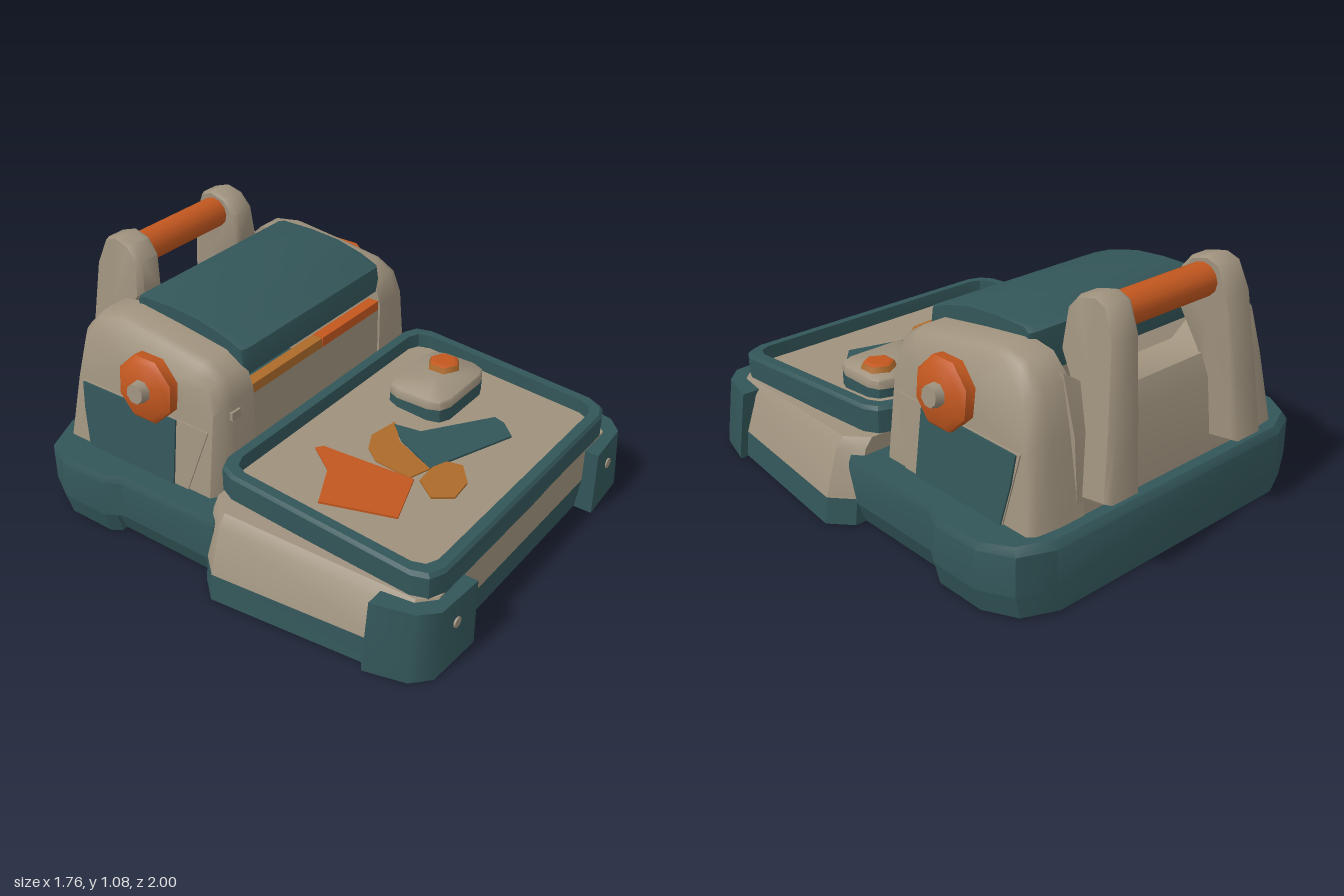
import * as THREE from 'three';
import { toCreasedNormals } from 'three/addons/utils/BufferGeometryUtils.js';

const paint = (name, color) => {
  const m = new THREE.MeshStandardMaterial({ color });
  m.name = name;
  return m;
};

// Solid skinned over rings of [x, y, z] points, capped at both ends, always facing outward
function loft(rings, crease = 0.6) {
  const n = rings[0].length, pos = rings.flat(2), idx = [];
  for (let r = 0; r < rings.length - 1; r++) {
    for (let i = 0; i < n; i++) {
      const a = r * n + i, b = r * n + (i + 1) % n;
      idx.push(a, b, b + n, a, b + n, a + n);
    }
  }
  [0, rings.length - 1].forEach((r, end) => {
    const c = pos.length / 3;
    for (let k = 0; k < 3; k++) pos.push(rings[r].reduce((s, p) => s + p[k], 0) / n);
    for (let i = 0; i < n; i++) {
      const a = r * n + i, b = r * n + (i + 1) % n;
      idx.push(...(end ? [c, a, b] : [c, b, a]));
    }
  });
  const v = (i) => new THREE.Vector3().fromArray(pos, i * 3);
  let volume = 0;
  for (let i = 0; i < idx.length; i += 3) volume += v(idx[i]).dot(v(idx[i + 1]).cross(v(idx[i + 2])));
  if (volume < 0) idx.reverse();
  const g = new THREE.BufferGeometry();
  g.setAttribute('position', new THREE.Float32BufferAttribute(pos, 3));
  g.setIndex(idx);
  return toCreasedNormals(g, crease);
}

// Contours in plan: rectangle with cut corners, and a half outline mirrored over x
function cutRect(x0, x1, z0, z1, c) {
  const d = c * 0.3;
  const corner = (x, z, sx, sz) => [[x, z + sz * c], [x + sx * d, z + sz * d], [x + sx * c, z]];
  return [...corner(x0, z0, 1, 1), ...corner(x1, z0, -1, 1).reverse(),
    ...corner(x1, z1, -1, -1), ...corner(x0, z1, 1, -1).reverse()];
}
const mirrored = (half) => [...half, ...half.map(([x, z]) => [-x, z]).reverse()];
// Place a contour at a height (number or function of z)
const at = (contour, y, sx = 1) => contour.map(([x, z]) => [x * sx, typeof y === 'function' ? y(z) : y, z]);
// Place a [z, y] side profile at some x
const side = (profile, x) => profile.map(([z, y]) => [typeof x === 'function' ? x(y) : x, y, z]);

export function createModel() {
  const cream = paint('cream', 0x9f927e), teal = paint('teal', 0x335659);
  const orange = paint('orange', 0xc2571f), ochre = paint('ochre', 0xad6a2a);
  const model = new THREE.Group();
  const add = (name, geo, mat, x = 0, y = 0, z = 0) => {
    const m = new THREE.Mesh(geo, mat);
    m.name = name;
    m.position.set(x, y, z);
    model.add(m);
  };
  const box = (w, h, d) => new THREE.BoxGeometry(w, h, d);

  // Rear tub, stepped in underneath at the sides
  const tub = mirrored([[0.79, 0.02], [0.79, -0.47], [0.83, -0.54], [0.83, -0.76], [0.76, -0.89], [0.62, -0.95]]);
  const tubTop = tub.map(([x, z]) => [x * 0.985, z < -0.8 ? z + 0.02 : z]);
  add('rearTub', loft([at(tub, 0.1), at(tub, 0.26), at(tubTop, 0.29)]), teal);
  const heel = mirrored([[0.8, -0.5], [0.83, -0.54], [0.83, -0.76], [0.76, -0.89], [0.62, -0.95]]);
  add('rearHeel', loft([at(heel, 0.005, 0.97), at(heel, 0.1)]), teal);
  const under = mirrored([[0.79, 0.04], [0.79, -0.52]]);
  add('tubUnderside', loft([at(under, 0.005, 0.95), at(under, 0.102)]), teal);
  add('bottomPlate', box(1.46, 0.004, 1.74), cream, 0, 0.002, 0.02);

  // Front body with teal skirt, sloping toward the front
  const body = mirrored([[0.8, -0.02], [0.88, 0.07], [0.8, 0.88], [0.73, 0.94]]);
  const skirtFoot = body.map(([x, z]) => [x, z > 0.8 ? z - 0.02 : z]);
  const shoulder = (z) => 0.355 - 0.06 * z;
  const skirtY = (z) => (z > 0.93 ? 0.145 : 0.115);
  add('frontSkirt', loft([at(skirtFoot, 0.003), at(body, skirtY, 0.985)]), teal);
  add('frontBody', loft([at(body, skirtY, 0.985), at(body, (z) => shoulder(z) - 0.04, 0.92), at(body, shoulder, 0.88)]), cream);

  // Front corner guards with rivets
  const guard = [[0.48, 1.0], [0.73, 0.985], [0.8, 0.92], [0.845, 0.75], [0.72, 0.75], [0.48, 0.9]];
  for (const s of [-1, 1]) {
    const top = guard.map(([x, z]) => [x > 0.5 ? x * 0.955 : x, z]);
    add('cornerGuard', loft([at(guard, 0, s), at(guard, 0.03, s), at(top, 0.292, s)], 0.9), teal);
    add('rivet', new THREE.CylinderGeometry(0.022, 0.022, 0.02, 10).rotateX(Math.PI / 2), cream, s * 0.603, 0.185, 0.988);
  }

  // Sloping tray with raised rim
  const rimY = (z) => 0.471 - 0.0755 * z;
  const floorY = (z) => rimY(z) - 0.065;
  const outer = cutRect(-0.7, 0.7, -0.05, 0.94, 0.09);
  const lip = cutRect(-0.69, 0.69, -0.04, 0.93, 0.09);
  const inner = cutRect(-0.65, 0.65, 0.0, 0.89, 0.07);
  add('tray', loft([at(outer, (z) => rimY(z) - 0.11), at(outer, (z) => rimY(z) - 0.015), at(lip, rimY),
    at(inner, rimY), at(inner, (z) => floorY(z) - 0.005)], 0.5), teal);
  // Thin plate lying on the sloped tray floor
  const plate = (name, pts, mat, lift, h) => {
    const shape = new THREE.Shape(pts.map(([x, z]) => new THREE.Vector2(x, -z)));
    const g = new THREE.ExtrudeGeometry(shape, { depth: h, bevelEnabled: false }).rotateX(-Math.PI / 2);
    const p = g.attributes.position;
    for (let i = 0; i < p.count; i++) p.setY(i, p.getY(i) + floorY(p.getZ(i)) + lift);
    g.computeVertexNormals();
    add(name, g, mat);
  };
  plate('trayFloor', inner, cream, -0.004, 0.006);
  plate('orangeScrap', [[-0.55, 0.34], [-0.37, 0.25], [-0.29, 0.13], [-0.26, 0.15], [-0.2, 0.54], [-0.43, 0.62]], orange, 0.002, 0.009);
  plate('ochreScrap', [[-0.2, 0.36], [-0.15, 0.29], [-0.07, 0.25], [0.07, 0.27], [-0.03, 0.36], [-0.1, 0.55], [-0.2, 0.52]], ochre, 0.002, 0.006);
  plate('smallOchreScrap', [[-0.25, 0.65], [-0.19, 0.56], [-0.03, 0.55], [0, 0.64], [-0.08, 0.71], [-0.19, 0.72]], ochre, 0.002, 0.009);
  plate('tealScrap', [[0.05, 0.28], [0.08, 0.39], [0.37, 0.57], [0.36, 0.62], [0.3, 0.69], [-0.1, 0.55], [-0.02, 0.36]], teal, 0.002, 0.009);

  // Button block on the tray
  const pad = cutRect(0.17, 0.55, 0.14, 0.43, 0.07);
  add('buttonBase', loft([at(pad, 0.37), at(pad, 0.435)]), teal);
  add('buttonBlock', loft([at(pad, 0.435), at(pad, 0.47), at(cutRect(0.175, 0.545, 0.145, 0.425, 0.07), 0.477)], 1), cream);
  add('buttonSide', new THREE.CylinderGeometry(0.065, 0.075, 0.026, 6), ochre, 0.45, 0.488, 0.265);
  add('buttonTop', new THREE.CylinderGeometry(0.05, 0.065, 0.006, 6), orange, 0.45, 0.504, 0.265);

  // Housing: two cheeks, a rear wall and a front panel, open between
  const cheek = [[-0.06, 0.28], [-0.06, 0.68], [-0.09, 0.78], [-0.17, 0.83], [-0.4, 0.865], [-0.6, 0.89],
    [-0.72, 0.87], [-0.8, 0.79], [-0.84, 0.6], [-0.89, 0.28]];
  const inset = (k) => cheek.map(([z, y]) => [-0.45 + (z + 0.45) * k, 0.28 + (y - 0.28) * k]);
  const wallX = (y) => 0.68 - 0.075 * (y - 0.28) / 0.6;
  for (const s of [-1, 1]) {
    add('housingCheek', loft([side(cheek, s * 0.43), side(cheek, s * 0.55),
      side(inset(0.975), (y) => s * (wallX(y) - 0.03)), side(inset(0.92), (y) => s * wallX(y))], 0.9), cream);
    // Raised side panel with its teal face
    const frame = [[-0.11, 0.57], [-0.79, 0.57], [-0.74, 0.29], [-0.2, 0.29]];
    const face = [[-0.27, 0.57], [-0.775, 0.565], [-0.765, 0.45], [-0.735, 0.29], [-0.27, 0.29]];
    const off = (d) => (y) => s * (wallX(y) + d);
    add('sidePanel', loft([side(frame, off(-0.03)), side(frame, off(0.006))]), cream);
    add('sidePanelFace', loft([side(face, off(0.006)), side(face, off(0.014))]), teal);
    // Eight-sided knob with hub, leaning with the wall
    const knob = new THREE.Group();
    knob.name = 'knob';
    const disc = (name, r0, r1, h, x, mat) => {
      const g = new THREE.CylinderGeometry(r0, r1, h, 8).rotateY(Math.PI / 8).rotateZ(-Math.PI / 2);
      const m = new THREE.Mesh(toCreasedNormals(g, 0.9), mat);
      m.name = name;
      m.position.x = x;
      knob.add(m);
    };
    disc('knobRim', 0.143, 0.143, 0.045, 0, orange);
    disc('knobFace', 0.12, 0.143, 0.02, 0.0325, orange);
    disc('knobHub', 0.042, 0.05, 0.06, 0.05, cream);
    knob.position.set(s * 0.65, 0.67, -0.405);
    knob.rotation.set(0, s < 0 ? Math.PI : 0, 0.09);
    model.add(knob);
  }
  // Rear wall, rising into the cheeks at both ends
  const rear = (top) => [[-0.885, 0.28], [-0.86, 0.6], [-0.825 + (top - 0.69) * 0.2, top],
    [-0.66, top], [-0.62, 0.6], [-0.6, 0.28]];
  add('rearWall', loft([side(rear(0.82), -0.46), side(rear(0.78), -0.4), side(rear(0.69), -0.27),
    side(rear(0.69), 0.27), side(rear(0.78), 0.4), side(rear(0.82), 0.46)], 0.8), cream);
  add('frontPanel', box(0.88, 0.38, 0.06), cream, 0, 0.47, -0.1);
  add('slotBar', box(0.85, 0.042, 0.05), ochre, 0, 0.676, -0.091);
  add('slotBarFace', box(0.4, 0.042, 0.05), orange, 0.22, 0.678, -0.088);
  add('cheekStud', box(0.05, 0.035, 0.02), cream, -0.545, 0.625, -0.06);

  // Curved lid, closed down behind
  const lid = [[-0.085, 0.85], [-0.075, 0.79], [-0.085, 0.735], [-0.12, 0.718], [-0.35, 0.72], [-0.61, 0.725],
    [-0.635, 0.8], [-0.635, 0.91], [-0.61, 0.928], [-0.45, 0.929], [-0.3, 0.917], [-0.17, 0.885]];
  const lidEnd = lid.map(([z, y]) => [-0.36 + (z + 0.36) * 0.95, 0.82 + (y - 0.82) * 0.96]);
  add('lid', loft([side(lidEnd, -0.453), side(lid, -0.43), side(lid, 0.43), side(lidEnd, 0.453)], 0.8), teal);

  // Carrying handle: two posts widening downward, and a grip
  const post = [[-0.69, 0.86], [-0.7, 1.0], [-0.75, 1.06], [-0.83, 1.08], [-0.89, 1.06], [-0.94, 0.95],
    [-0.975, 0.65], [-1.0, 0.37], [-0.84, 0.35], [-0.8, 0.7]];
  const slim = post.map(([z, y]) => [-0.85 + (z + 0.85) * 0.87, 0.72 + (y - 0.72) * 0.98]);
  for (const s of [-1, 1]) {
    const lean = (x, spread) => (y) => s * (x + spread * (1.08 - y) / 0.7);
    add('handlePost', loft([side(slim, lean(0.232, 0.03)), side(post, lean(0.25, 0.03)),
      side(post, lean(0.33, 0.08)), side(slim, lean(0.352, 0.08))], 0.9), cream);
  }
  add('handleGrip', new THREE.CylinderGeometry(0.067, 0.067, 0.54, 12).rotateZ(Math.PI / 2), orange, 0, 0.988, -0.818);

  return model;
}
